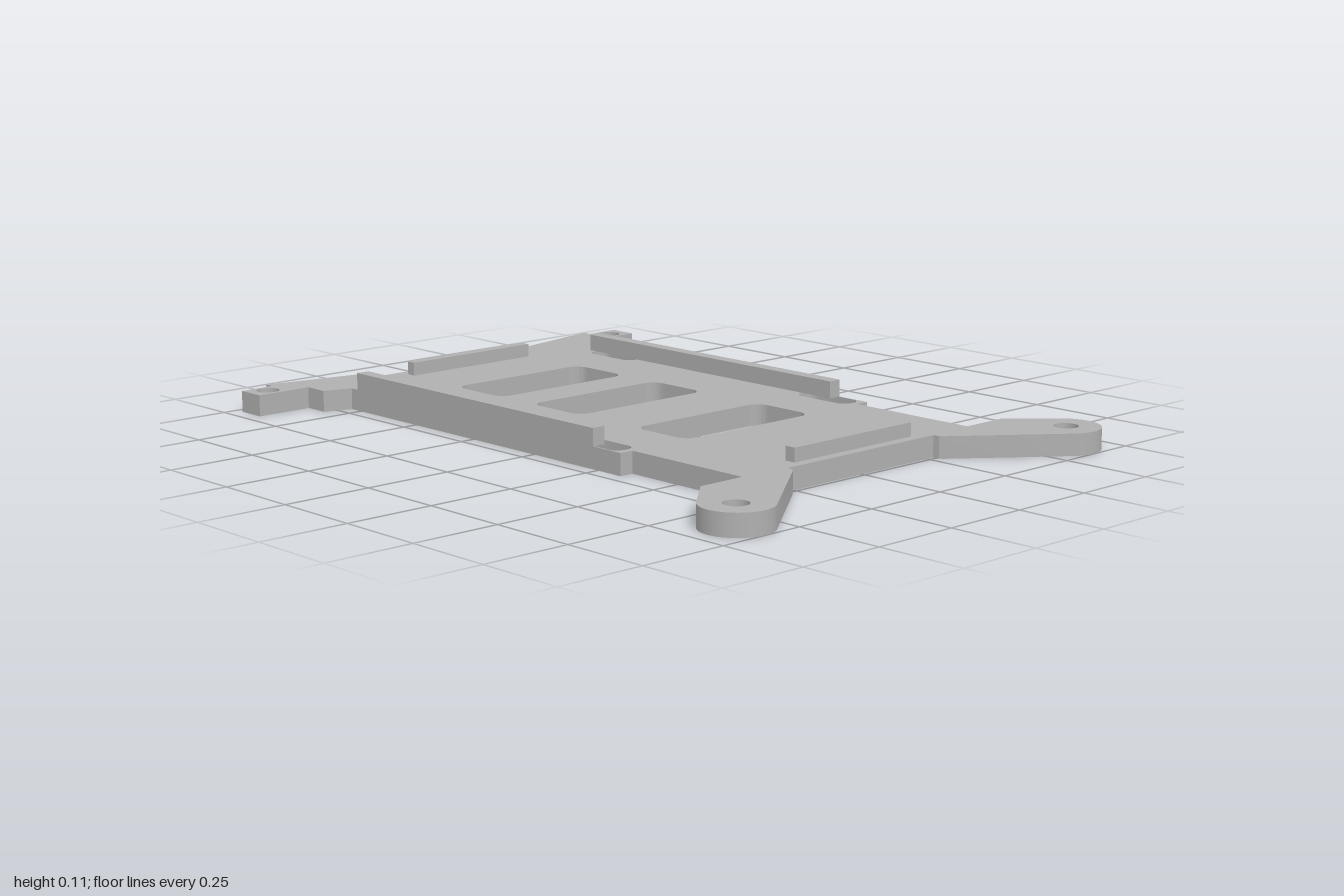
import * as THREE from 'three';
import { toCreasedNormals } from 'three/addons/utils/BufferGeometryUtils.js';

const THICK = 0.06;

// Rounded rectangular cut-out, in plan coordinates (x, z)
function roundedHole(x0, x1, z0, z1, r) {
  const p = new THREE.Path();
  p.absarc(x1 - r, z1 - r, r, 0, Math.PI / 2);
  p.absarc(x0 + r, z1 - r, r, Math.PI / 2, Math.PI);
  p.absarc(x0 + r, z0 + r, r, Math.PI, Math.PI * 1.5);
  p.absarc(x1 - r, z0 + r, r, Math.PI * 1.5, Math.PI * 2);
  p.closePath();
  return p;
}

function roundHole(x, z, r) {
  const p = new THREE.Path();
  p.absarc(x, z, r, 0, Math.PI * 2);
  return p;
}

// Half outline of the plate from back to front on the +x side
function halfOutline() {
  const pts = [
    [0.275, -0.88], [0.277, -0.91], [0.281, -0.924], [0.29, -0.933], [0.305, -0.938],
    [0.605, -1], [0.605, -0.972], [0.707, -0.972], [0.707, -0.887],
    [0.54, -0.887], [0.54, -0.815], [0.46, -0.79], [0.46, 0.337],
    [0.42, 0.337], [0.42, 0.73], [0.56, 0.73],
  ];
  // Rounded foot
  const steps = 24, a0 = -0.85, a1 = 2.2;
  for (let i = 0; i <= steps; i++) {
    const a = a0 + (a1 - a0) * i / steps;
    pts.push([0.613 + 0.095 * Math.cos(a), 0.905 + 0.095 * Math.sin(a)]);
  }
  pts.push([0.282, 0.768], [0.275, 0.758], [0.273, 0.74]);
  return pts;
}

export function createModel() {
  const group = new THREE.Group();
  const grey = new THREE.MeshStandardMaterial({ color: 0xb0b0b0 });
  grey.name = 'grey';

  // Base plate with feet and lugs
  const half = halfOutline();
  const mirrored = half.map(([x, z]) => [-x, z]).reverse();
  const shape = new THREE.Shape([...half, ...mirrored].map(([x, z]) => new THREE.Vector2(x, z)));

  // Three central windows
  for (const z of [-0.605, -0.278, 0.141]) {
    shape.holes.push(roundedHole(-0.23, 0.23, z, z + 0.2, 0.04));
  }
  // Strap slots and screw holes on both sides
  for (const s of [-1, 1]) {
    for (const [z0, z1] of [[-0.74, -0.555], [0.13, 0.317]]) {
      const c = s * 0.422;
      shape.holes.push(roundedHole(c - 0.034, c + 0.034, z0, z1, 0.03));
    }
    shape.holes.push(roundHole(s * 0.648, -0.93, 0.033));
    shape.holes.push(roundHole(s * 0.615, 0.905, 0.034));
  }
  let plateGeo = new THREE.ExtrudeGeometry(shape, { depth: THICK, bevelEnabled: false, curveSegments: 8 });
  plateGeo.rotateX(Math.PI / 2);
  plateGeo.translate(0, THICK, 0);
  plateGeo = toCreasedNormals(plateGeo, 0.5);
  const plate = new THREE.Mesh(plateGeo, grey);
  plate.name = 'basePlate';
  group.add(plate);

  // Raised strips standing on the plate
  function strip(name, x0, x1, z0, z1, top) {
    const mesh = new THREE.Mesh(new THREE.BoxGeometry(x1 - x0, top - THICK, z1 - z0), grey);
    mesh.position.set((x0 + x1) / 2, (top + THICK) / 2, (z0 + z1) / 2);
    mesh.name = name;
    group.add(mesh);
  }
  strip('leftRail', 0.421, 0.46, -0.763, 0.233, 0.108);
  strip('rightRail', -0.46, -0.421, -0.763, 0.233, 0.108);
  strip('frontRidge', -0.217, 0.217, 0.68, 0.711, 0.098);
  strip('backRidge', -0.217, 0.217, -0.843, -0.815, 0.098);

  return group;
}
